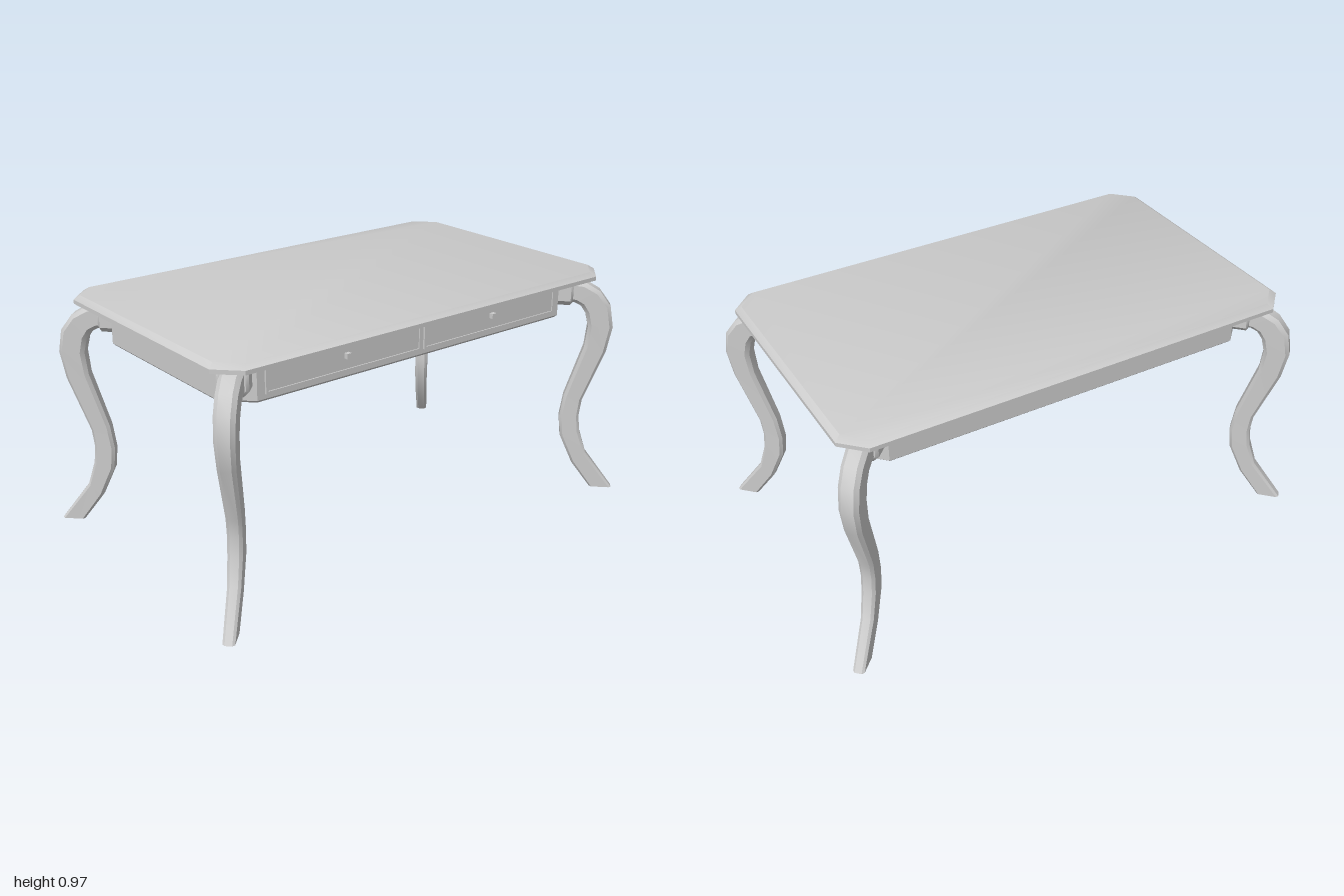
import * as THREE from 'three';
import { toCreasedNormals } from 'three/addons/utils/BufferGeometryUtils.js';

const material = new THREE.MeshStandardMaterial({ color: 0xcccccc });

function addMesh(parent, name, geometry) {
  const mesh = new THREE.Mesh(geometry, material);
  mesh.name = name;
  parent.add(mesh);
  return mesh;
}

// Rectangle with cut corners, as [u, v] pairs
function cutRect(hu, hv, c) {
  return [
    [hu, -hv + c], [hu, hv - c], [hu - c, hv], [-hu + c, hv],
    [-hu, hv - c], [-hu, -hv + c], [-hu + c, -hv], [hu - c, -hv],
  ];
}

// Skin a series of rings and cap both ends
function loft(rings) {
  const n = rings[0].length;
  const index = [];
  for (let j = 0; j < rings.length - 1; j++) {
    for (let i = 0; i < n; i++) {
      const a = j * n + i, b = j * n + (i + 1) % n;
      index.push(a, a + n, b + n, a, b + n, b);
    }
  }
  const last = (rings.length - 1) * n;
  for (let i = 1; i < n - 1; i++) {
    index.push(0, i, i + 1, last, last + i + 1, last + i);
  }
  const geometry = new THREE.BufferGeometry();
  geometry.setAttribute('position', new THREE.Float32BufferAttribute(rings.flat(2), 3));
  geometry.setIndex(index);
  return toCreasedNormals(geometry, 0.6);
}

// Horizontal slab from layers of [y, half x, half z, corner cut]
const slab = (layers) => loft(layers.map(([y, hx, hz, c]) =>
  cutRect(hx, hz, c).map(([u, v]) => [u, y, v])));

// Leg piece from sections of [outer r, outer y, inner r, inner y, width]
const limb = (sections) => loft(sections.map(([ro, yo, ri, yi, w]) => {
  const depth = Math.hypot(ro - ri, yo - yi);
  return cutRect(depth / 2, w / 2, w * 0.2).map(([u, v]) => {
    const t = u / depth + 0.5;
    return [ri + (ro - ri) * t, yi + (yo - yi) * t, v];
  });
}));

function createDrawer(x) {
  const drawer = new THREE.Group();
  drawer.name = 'drawer';
  const hw = 0.35, hh = 0.061, rim = 0.009;
  const rect = (S, a, b) => new S([
    new THREE.Vector2(-a, -b), new THREE.Vector2(a, -b),
    new THREE.Vector2(a, b), new THREE.Vector2(-a, b),
  ]);
  const outline = rect(THREE.Shape, hw, hh);
  outline.holes.push(rect(THREE.Path, hw - rim, hh - rim));
  addMesh(drawer, 'drawerFrame', new THREE.ExtrudeGeometry(outline, { depth: 0.008, bevelEnabled: false }));
  addMesh(drawer, 'drawerPanel', new THREE.BoxGeometry(2 * (hw - rim), 2 * (hh - rim), 0.006));
  addMesh(drawer, 'drawerKnob', new THREE.BoxGeometry(0.02, 0.02, 0.02)).position.z = 0.01;
  drawer.position.set(x, 0.869, 0.46);
  return drawer;
}

export function createModel() {
  const table = new THREE.Group();
  table.name = 'writingTable';

  // Top with cut corners and a bevelled upper edge
  addMesh(table, 'tableTop', slab([
    [0.938, 0.933, 0.557, 0.085],
    [0.954, 0.933, 0.557, 0.085],
    [0.97, 0.91, 0.534, 0.076],
  ]));

  // Apron box with a bevelled lower edge
  addMesh(table, 'apron', slab([
    [0.78, 0.83, 0.45, 0.096],
    [0.79, 0.84, 0.46, 0.1],
    [0.94, 0.84, 0.46, 0.1],
  ]));

  for (const x of [-0.358, 0.358]) table.add(createDrawer(x));

  // Curved legs, from the foot up to the apron corner
  const legGeometry = limb([
    [0.283, 0, 0.19, 0, 0.045],
    [0.162, 0.16, 0.107, 0.11, 0.05],
    [0.13, 0.26, 0.05, 0.235, 0.055],
    [0.123, 0.33, 0.041, 0.32, 0.055],
    [0.131, 0.4, 0.055, 0.42, 0.057],
    [0.213, 0.62, 0.123, 0.64, 0.066],
    [0.233, 0.73, 0.132, 0.73, 0.073],
    [0.217, 0.82, 0.118, 0.787, 0.076],
    [0.171, 0.882, 0.097, 0.818, 0.078],
    [0.11, 0.917, 0.07, 0.832, 0.08],
    [0.04, 0.925, 0.03, 0.836, 0.08],
  ]);
  const collarGeometry = limb([
    [0.062, 0.922, 0.062, 0.832, 0.09],
    [0.052, 0.932, 0.052, 0.822, 0.11],
    [-0.02, 0.932, -0.02, 0.822, 0.11],
  ]);
  for (const sx of [1, -1]) {
    for (const sz of [1, -1]) {
      const leg = new THREE.Group();
      leg.name = `${sz > 0 ? 'front' : 'back'}${sx > 0 ? 'Left' : 'Right'}Leg`;
      addMesh(leg, 'curvedLeg', legGeometry);
      addMesh(leg, 'legCollar', collarGeometry);
      leg.position.set(sx * 0.79, 0, sz * 0.41);
      leg.rotation.y = -Math.atan2(sz, sx);
      table.add(leg);
    }
  }
  return table;
}
